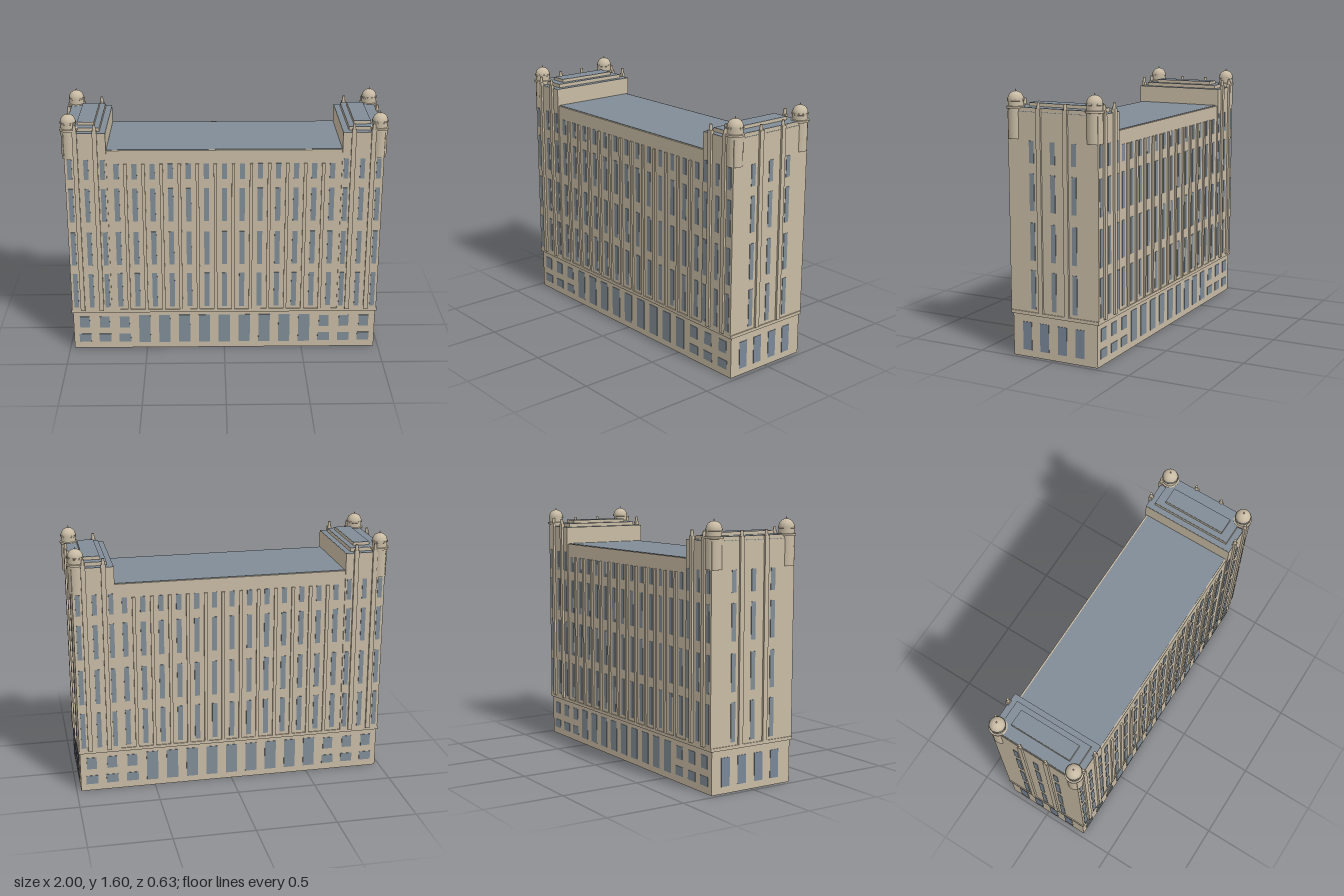
import * as THREE from 'three';

export function createModel() {
  const model = new THREE.Group();
  const stone = new THREE.MeshStandardMaterial({ color: 0xc8bba4, side: THREE.DoubleSide });
  stone.name = 'limestone';
  const slate = new THREE.MeshStandardMaterial({ color: 0x808c96 });
  slate.name = 'slate and glass';
  const entryGlass = new THREE.MeshStandardMaterial({ color: 0x7a8797 });
  entryGlass.name = 'ground floor glass';

  const add = (name, geo, mat, x, y, z, parent = model) => {
    const m = new THREE.Mesh(geo, mat);
    m.name = name;
    m.position.set(x, y, z);
    parent.add(m);
    return m;
  };
  // box given by its centre in x and z and its bottom and top heights
  const block = (name, mat, x, z, w, d, y0, y1, parent = model) =>
    add(name, new THREE.BoxGeometry(w, y1 - y0, d), mat, x, (y0 + y1) / 2, z, parent);

  // Hollow ground floor, open underneath
  const rect = (T, w, d) => {
    const s = new T();
    s.moveTo(-w, -d); s.lineTo(w, -d); s.lineTo(w, d); s.lineTo(-w, d); s.closePath();
    return s;
  };
  const plan = rect(THREE.Shape, 0.972, 0.285);
  plan.holes.push(rect(THREE.Path, 0.967, 0.28));
  const walls = new THREE.ExtrudeGeometry(plan, { depth: 0.26, bevelEnabled: false });
  walls.rotateX(-Math.PI / 2);
  add('groundFloorWalls', walls, stone, 0, 0, 0);
  block('stringCourse', stone, 0, 0, 1.962, 0.592, 0.26, 0.28);

  // Middle block with inset roof
  block('middleBlock', stone, 0, 0, 1.46, 0.58, 0.28, 1.355);
  block('middleRoof', slate, 0, 0, 1.438, 0.56, 1.354, 1.358);

  // Turret profile: shaft, collar, drum, dome and finial
  const profile = [[0, 1.305], [0.047, 1.305], [0.047, 1.478], [0.055, 1.48], [0.055, 1.492],
    [0.046, 1.494], [0.046, 1.522], [0.05, 1.524], [0.05, 1.532]];
  const pts = profile.map(([r, y]) => new THREE.Vector2(r, y));
  // repeated corner points keep the shaft and drum edges crisp
  const sharp = pts.flatMap(p => [p, p.clone().addScalar(0.0002)]);
  sharp[0].x = sharp[1].x = 0;
  const turretGeo = new THREE.LatheGeometry(sharp, 24);
  const domeGeo = new THREE.SphereGeometry(0.047, 24, 10, 0, Math.PI * 2, 0, Math.PI / 2);
  const finialGeo = new THREE.ConeGeometry(0.006, 0.022, 8);
  const pinnacleGeo = new THREE.CylinderGeometry(0.008, 0.011, 0.035, 10);

  const rows = [[0.30, 0.535], [0.595, 0.82], [0.89, 1.11], [1.17, 1.27]];
  const towerRows = [...rows.slice(0, 3), [1.17, 1.30]];

  // Pilaster rising to a slim pinnacle
  const tallPilaster = (x, z, w, d, parent) => {
    block('towerPilaster', stone, x, z, w, d, 0.28, 1.488, parent);
    add('pinnacle', pinnacleGeo, stone, x, 1.505, z, parent);
  };

  // Both halves are the same half turned by 180 degrees
  for (const turn of [0, Math.PI]) {
    const half = new THREE.Group();
    half.name = turn ? 'rearHalf' : 'frontHalf';
    half.rotation.y = turn;
    model.add(half);

    // Long facade: window bays and pilasters
    for (let i = 0; i < 13; i++) {
      const x = (i - 6) * 0.1105;
      for (const [a, b] of rows) block('bayWindow', slate, x, 0.29, 0.032, 0.006, a, b, half);
      if (i < 12) block('bayPilaster', stone, x + 0.05525, 0.293, 0.02, 0.014, 0.28, 1.27, half);
    }
    // Long facade: ground floor windows
    for (let i = -7; i <= 7; i++) {
      const x = i * 0.1285;
      if (Math.abs(i) <= 4) {
        block('tallShopWindow', slate, x, 0.285, 0.073, 0.006, 0.04, 0.235, half);
      } else {
        block('upperShopWindow', slate, x, 0.285, 0.063, 0.006, 0.148, 0.226, half);
        block('lowerShopWindow', slate, x, 0.285, 0.076, 0.006, 0.045, 0.102, half);
      }
    }
    // Tower faces on the long facade
    for (const s of [-1, 1]) {
      for (const x of [0.745, 0.845, 0.945])
        for (const [a, b] of towerRows)
          block('towerWindow', slate, s * x, 0.297, 0.029, 0.006, a, b, half);
      for (const x of [0.785, 0.905]) tallPilaster(s * x, 0.299, 0.028, 0.022, half);

      // Corner turret
      const turret = new THREE.Group();
      turret.name = 'cornerTurret';
      turret.position.set(s * 0.944, 0, 0.26);
      half.add(turret);
      add('turretShaft', turretGeo, stone, 0, 0, 0, turret);
      add('turretDome', domeGeo, stone, 0, 1.532, 0, turret);
      add('turretFinial', finialGeo, stone, 0, 1.584, 0, turret);
    }

    // End tower with stepped roof
    block('endTower', stone, 0.8475, 0, 0.255, 0.594, 0.28, 1.465, half);
    block('towerRoof', slate, 0.8475, 0, 0.253, 0.592, 1.465, 1.467, half);
    block('roofStep', stone, 0.865, 0, 0.215, 0.51, 1.465, 1.488, half);
    block('roofStepTop', slate, 0.865, 0, 0.213, 0.508, 1.488, 1.49, half);
    block('roofCap', stone, 0.845, 0, 0.105, 0.4, 1.488, 1.508, half);
    block('roofCapTop', slate, 0.845, 0, 0.103, 0.398, 1.508, 1.51, half);

    // End facade
    for (const z of [-0.14, 0, 0.14])
      for (const [a, b] of towerRows)
        block('endWindow', slate, 0.975, z, 0.006, 0.031, a, b, half);
    for (const z of [-0.088, 0.088]) tallPilaster(0.976, z, 0.022, 0.03, half);
    for (const z of [0.188, 0.071, -0.051, -0.169])
      block('endShopWindow', entryGlass, 0.972, z, 0.006, 0.06, 0.043, 0.215, half);
  }
  return model;
}
